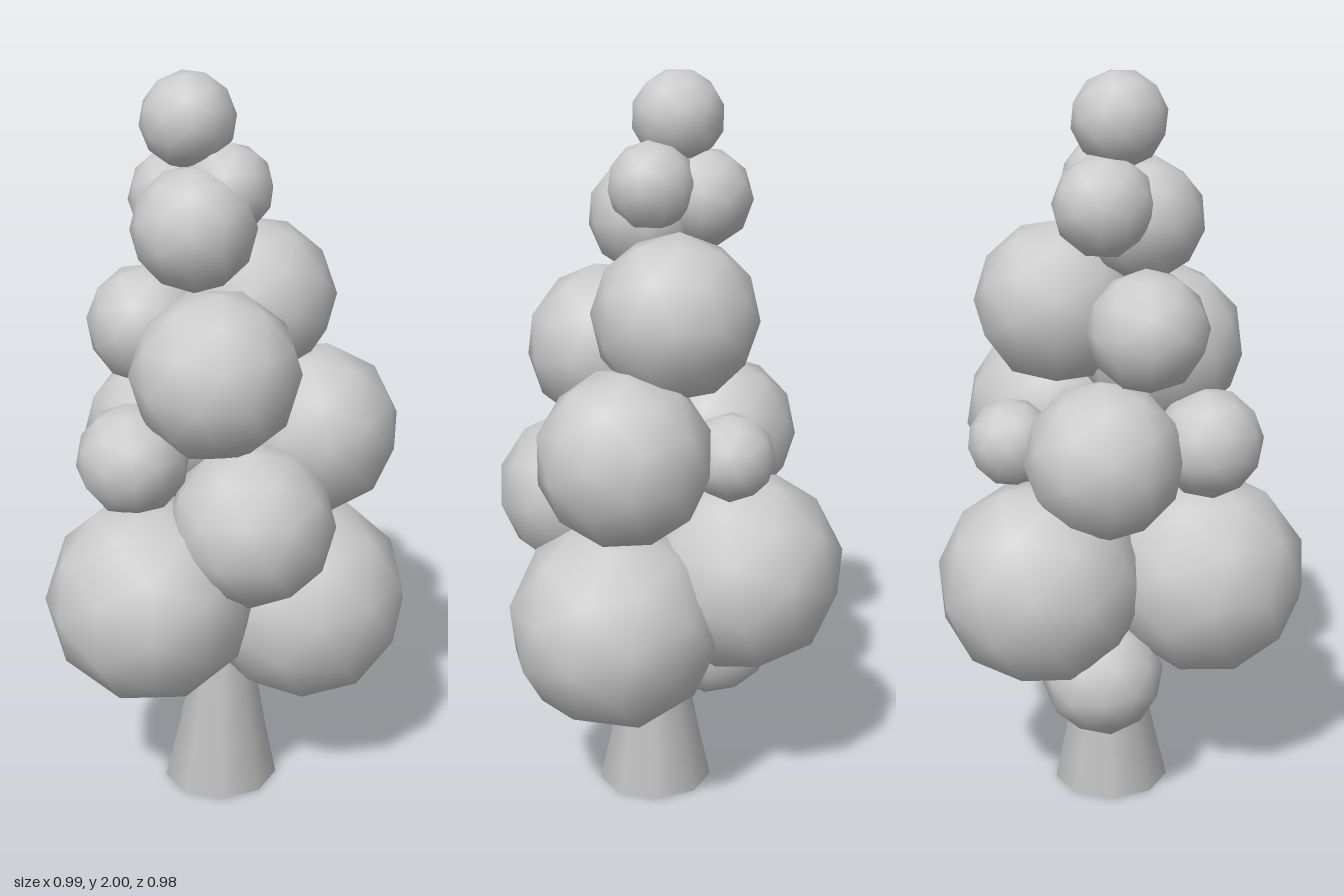
import * as THREE from 'three';

const material = new THREE.MeshStandardMaterial({ color: 0xcccccc });

// Leaf clumps: x, y, z, radius
const clumps = {
  lower: [
    [-0.215, 0.655, 0.215, 0.28],
    [0.205, 0.565, 0.045, 0.29],
    [-0.06, 0.67, -0.21, 0.28],
    [-0.16, 0.4, -0.08, 0.165],
    [0.05, 0.87, 0.24, 0.22],
  ],
  middle: [
    [0.23, 1.045, 0, 0.235],
    [-0.175, 1.02, -0.085, 0.212],
    [-0.255, 1.04, 0.19, 0.148],
    [0.06, 1.03, -0.225, 0.118],
    [-0.04, 1.265, 0.19, 0.223],
    [-0.21, 1.355, 0.025, 0.16],
    [0.075, 1.39, -0.07, 0.22],
  ],
  upper: [
    [-0.09, 1.62, 0.09, 0.162],
    [-0.125, 1.67, -0.055, 0.132],
    [0, 1.71, 0.035, 0.118],
    [-0.1, 1.878, 0.008, 0.124],
  ],
};

// Trunk that flares at the base and leans slightly to the middle
function createTrunk() {
  const height = 0.9;
  const geometry = new THREE.CylinderGeometry(1, 1, height, 9, 6);
  geometry.translate(0, height / 2, 0);
  const p = geometry.attributes.position;
  for (let i = 0; i < p.count; i++) {
    const t = p.getY(i) / height;
    const r = 0.035 + 0.126 * Math.pow(1 - t, 1.7);
    p.setX(i, p.getX(i) * r - 0.023 * (1 - t));
    p.setZ(i, p.getZ(i) * r + 0.04 - 0.01 * t);
  }
  const trunk = new THREE.Mesh(geometry, material);
  trunk.name = 'trunk';
  return trunk;
}

export function createModel() {
  const tree = new THREE.Group();
  tree.name = 'tree';
  tree.add(createTrunk());

  // Smooth low-poly balls, each turned differently
  const ball = new THREE.IcosahedronGeometry(1, 1);
  let turn = 0;
  for (const [level, list] of Object.entries(clumps)) {
    const group = new THREE.Group();
    group.name = `${level}Foliage`;
    list.forEach(([x, y, z, r], i) => {
      const clump = new THREE.Mesh(ball, material);
      clump.name = `${level}Clump${i + 1}`;
      clump.position.set(x, y, z);
      clump.scale.setScalar(r);
      clump.rotation.set(turn * 1.3, turn * 2.1, turn * 0.7);
      turn++;
      group.add(clump);
    });
    tree.add(group);
  }
  return tree;
}
